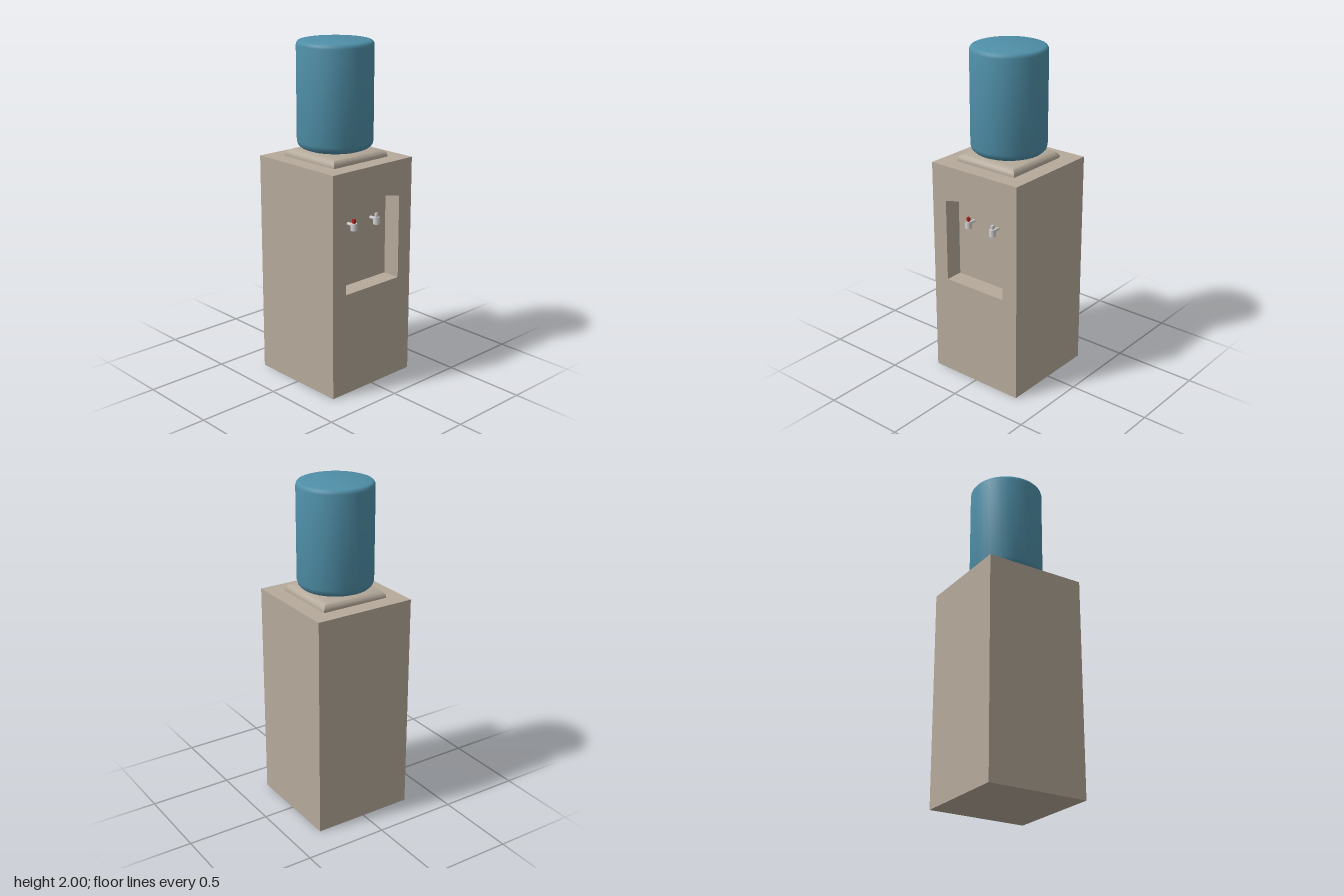
import * as THREE from 'three';
import { toCreasedNormals } from 'three/addons/utils/BufferGeometryUtils.js';

const material = (color) => new THREE.MeshStandardMaterial({ color });
const shell = material(0xb5aa9b);
const water = material(0x4f8fa8);
const tapGrey = material(0xcccccc);
const hotRed = material(0xb02020);

function add(parent, name, geometry, mat, x = 0, y = 0, z = 0) {
  const mesh = new THREE.Mesh(geometry, mat);
  mesh.name = name;
  mesh.position.set(x, y, z);
  parent.add(mesh);
  return mesh;
}

const HALF = 0.31, HEIGHT = 1.33, RECESS = 0.11;

// Front panel with an arched opening for the dispensing recess
function frontPanelGeometry() {
  const panel = new THREE.Shape();
  panel.moveTo(-HALF, 0).lineTo(HALF, 0).lineTo(HALF, HEIGHT).lineTo(-HALF, HEIGHT).closePath();
  const opening = new THREE.Path();
  opening.moveTo(-0.21, 0.615).lineTo(-0.21, 1.115);
  opening.quadraticCurveTo(0, 1.175, 0.21, 1.115);
  opening.lineTo(0.21, 0.615).closePath();
  panel.holes.push(opening);
  const geometry = new THREE.ExtrudeGeometry(panel, { depth: RECESS, bevelEnabled: false, curveSegments: 16 });
  return toCreasedNormals(geometry, 0.6);
}

// Square collar with rounded shoulders: a four-sided lathe turned by 45 degrees
function collarGeometry() {
  const profile = [[0.21, 0], [0.21, 0.012], [0.204, 0.026], [0.19, 0.038], [0.17, 0.046], [0.145, 0.05], [0, 0.05]]
    .map(([half, y]) => new THREE.Vector2(half * Math.SQRT2, y));
  const geometry = new THREE.LatheGeometry(profile, 4).rotateY(Math.PI / 4);
  return toCreasedNormals(geometry, 0.7);
}

// Bottle with a tight rounded top and a softer rounded base
function bottleGeometry() {
  const profile = [[0, 1.375], [0.14, 1.375], [0.175, 1.383], [0.2, 1.393], [0.215, 1.408], [0.221, 1.43],
    [0.221, 1.975], [0.218, 1.987], [0.211, 1.996], [0.2, 2], [0, 2]]
    .map(([r, y]) => new THREE.Vector2(r, y));
  return toCreasedNormals(new THREE.LatheGeometry(profile, 36), 0.6);
}

// Tap: stem out of the recess wall, spout and a small lever on top
function createTap(name, leverMaterial, x) {
  const tap = new THREE.Group();
  tap.name = name;
  tap.position.set(x, 0.98, 0.25);
  const stem = new THREE.CylinderGeometry(0.01, 0.01, 0.05, 12).rotateX(Math.PI / 2);
  add(tap, 'stem', stem, tapGrey, 0, 0.008, -0.025);
  add(tap, 'spout', new THREE.CylinderGeometry(0.018, 0.021, 0.042, 16), tapGrey);
  add(tap, 'lever', new THREE.BoxGeometry(0.014, 0.024, 0.016), leverMaterial, 0, 0.033, 0);
  return tap;
}

export function createModel() {
  const model = new THREE.Group();
  model.name = 'waterCooler';

  // Cabinet
  const rearDepth = 2 * HALF - RECESS;
  add(model, 'cabinet', new THREE.BoxGeometry(2 * HALF, HEIGHT, rearDepth), shell, 0, HEIGHT / 2, -RECESS / 2);
  add(model, 'frontPanel', frontPanelGeometry(), shell, 0, 0, HALF - RECESS);

  // Bottle and its seat
  add(model, 'collar', collarGeometry(), shell, 0, HEIGHT, 0);
  add(model, 'bottle', bottleGeometry(), water, 0, 0, -0.005);

  // Taps
  model.add(createTap('hotTap', hotRed, -0.093));
  model.add(createTap('coldTap', tapGrey, 0.087));

  return model;
}
